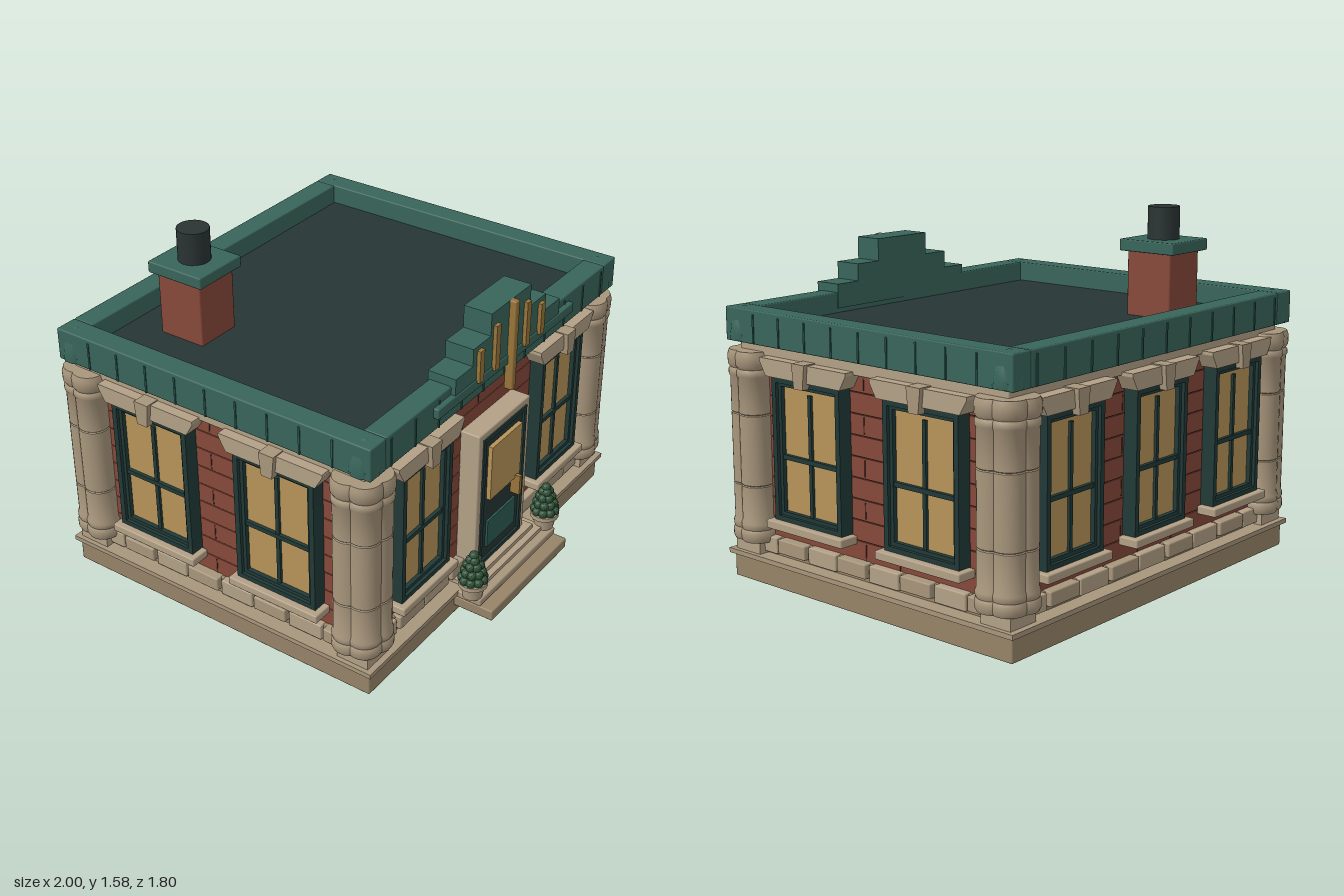
import * as THREE from 'three';
import { toCreasedNormals } from 'three/addons/utils/BufferGeometryUtils.js';
import { RoundedBoxGeometry } from 'three/addons/geometries/RoundedBoxGeometry.js';

const mat = (color, extra = {}) => new THREE.MeshStandardMaterial({ color, ...extra });
const M = {
  stone: mat(0xa8967c), pale: mat(0xb3a186), plinth: mat(0x978468), brick: mat(0x86493a), mortar: mat(0x4a2a24),
  green: mat(0x38655a), panel: mat(0x2b5a52), dark: mat(0x263634), trim: mat(0x213a37),
  glass: mat(0xb8945a), gold: mat(0x99743a), pot: mat(0x2a3333), leaf: mat(0x2f5238, { flatShading: true }),
};
const ZC = -0.08, HX = 0.89, HZ = 0.72; // house centre in z, half sizes of the walls

function add(parent, name, geometry, material, x = 0, y = 0, z = 0) {
  const m = new THREE.Mesh(geometry, material);
  m.name = name;
  m.position.set(x, y, z);
  parent.add(m);
  return m;
}
// box from its extents, edges softened when thick enough
function box(parent, name, material, x0, x1, y0, y1, z0, z1) {
  const w = x1 - x0, h = y1 - y0, d = z1 - z0;
  const g = Math.min(w, h, d) > 0.03 ? new RoundedBoxGeometry(w, h, d, 1, 0.006) : new THREE.BoxGeometry(w, h, d);
  return add(parent, name, g, material, (x0 + x1) / 2, (y0 + y1) / 2, (z0 + z1) / 2);
}
function lathe(parent, name, material, profile, x, y, z, sides = 24) {
  const g = new THREE.LatheGeometry(profile.map(p => new THREE.Vector2(p[0], p[1])), sides);
  return add(parent, name, toCreasedNormals(g, 0.7), material, x, y, z);
}
// flat outline pushed out along +z
function slab(parent, name, material, points, depth, z = 0) {
  const s = new THREE.Shape(points.map(p => new THREE.Vector2(p[0], p[1])));
  return add(parent, name, new THREE.ExtrudeGeometry(s, { depth, bevelEnabled: false }), material, 0, 0, z);
}
function ring(parent, name, material, w, y0, y1, t, z0, z1) {
  const s = new THREE.Shape([[-w, y0], [w, y0], [w, y1], [-w, y1]].map(p => new THREE.Vector2(...p)));
  s.holes.push(new THREE.Path([[-w + t, y0 + t], [-w + t, y1 - t], [w - t, y1 - t], [w - t, y0 + t]].map(p => new THREE.Vector2(...p))));
  return add(parent, name, new THREE.ExtrudeGeometry(s, { depth: z1 - z0, bevelEnabled: false }), material, 0, 0, z0);
}

// window on a wall face, w is half the frame width
function windowUnit(face, x, w) {
  const g = new THREE.Group();
  g.name = 'window';
  g.position.x = x;
  face.add(g);
  box(g, 'windowPane', M.glass, -w + 0.03, w - 0.03, 0.33, 0.9, 0, 0.03);
  ring(g, 'windowOuterFrame', M.trim, w, 0.305, 0.925, 0.024, 0, 0.065);
  ring(g, 'windowInnerFrame', M.trim, w - 0.02, 0.325, 0.905, 0.02, 0, 0.05);
  box(g, 'windowMullion', M.trim, -0.009, 0.009, 0.345, 0.865, 0.02, 0.042);
  box(g, 'windowTransom', M.trim, -w + 0.03, w - 0.03, 0.572, 0.592, 0.02, 0.046);
  box(g, 'windowSill', M.pale, -w - 0.027, w + 0.027, 0.27, 0.308, 0, 0.095);
  const t = w + 0.055, b = w + 0.02;
  slab(g, 'windowLintel', M.pale, [[-b, 0.925], [b, 0.925], [t, 0.985], [t, 1], [-t, 1], [-t, 0.985]], 0.08);
  slab(g, 'keystone', M.stone, [[-0.026, 0.9], [0.026, 0.9], [0.036, 0.99], [0.036, 1.005], [-0.036, 1.005], [-0.036, 0.99]], 0.1);
}

// one wall face: brick courses, joints and footing stones
function wallFace(house, name, half, x, z, turn, windows, w) {
  const f = new THREE.Group();
  f.name = name;
  f.position.set(x, 0, z);
  f.rotation.y = turn;
  house.add(f);
  const rows = 9, y0 = 0.2, h = 0.8 / rows;
  for (let r = 0; r < rows; r++) {
    const y = y0 + r * h;
    box(f, 'brickCourse', M.brick, -half, half, y, y + h - 0.004, -0.02, 0);
    for (let k = 0; k < 7; k++) {
      const jx = -half + 0.1 + ((k + (r % 2) * 0.5) / 7) * (half * 2 - 0.1);
      if ((k * 3 + r * 2) % 4 < 2) box(f, 'brickJoint', M.mortar, jx - 0.003, jx + 0.003, y + 0.008, y + h - 0.012, -0.01, 0.002);
    }
  }
  const n = Math.round(half / 0.095);
  box(f, 'footingBand', M.plinth, -half, half, 0.12, 0.205, -0.04, 0.015);
  for (let i = 0; i < n; i++) {
    const a = -half + (2 * half * i) / n, b = a + (2 * half) / n - 0.014;
    box(f, 'footingStone', i % 2 ? M.stone : M.pale, a, b, 0.135 + (i % 2) * 0.01, 0.208, -0.03, 0.035 + (i % 2) * 0.008);
  }
  for (const c of windows) windowUnit(f, c, w);
  return f;
}

// corner pier of three clustered drums
const drum = [[0, 0.18], [0.07, 0.18], [0.077, 0.195], [0.077, 0.225], [0.071, 0.235], [0.075, 0.245], [0.075, 0.262], [0.069, 0.275],
  [0.069, 0.426], [0.065, 0.43], [0.069, 0.434], [0.069, 0.736], [0.065, 0.74], [0.069, 0.744], [0.069, 0.895], [0.075, 0.905],
  [0.075, 0.925], [0.068, 0.935], [0.077, 0.95], [0.078, 0.99], [0.07, 1.012], [0, 1.012]];
function cornerPier(house, sx, sz) {
  const g = new THREE.Group();
  g.name = 'cornerPier';
  house.add(g);
  for (const [x, z] of [[0.85, 0.745], [0.92, 0.67], [0.908, 0.733]]) lathe(g, 'pierDrum', M.stone, drum, sx * x, 0, ZC + sz * z);
  add(g, 'pierFoot', new THREE.BoxGeometry(0.15, 0.07, 0.15), M.pale, sx * 0.88, 0.155, ZC + sz * 0.705);
  lathe(g, 'roofCornerKnob', M.green, [[0, 1.05], [0.066, 1.05], [0.068, 1.075], [0.06, 1.12], [0.046, 1.165], [0.025, 1.185], [0, 1.195]],
    sx * 0.908, 0, ZC + sz * 0.732, 10);
}

function plant(house, x) {
  const g = new THREE.Group();
  g.name = 'pottedShrub';
  g.position.set(x, 0.125, 0.79);
  house.add(g);
  lathe(g, 'planter', M.pale, [[0, 0], [0.042, 0], [0.052, 0.055], [0.064, 0.06], [0.064, 0.08], [0.05, 0.08], [0.045, 0.07], [0, 0.07]], 0, 0, 0, 16);
  add(g, 'shrubCore', new THREE.ConeGeometry(0.055, 0.15, 10), M.leaf, 0, 0.145, 0);
  [[9, 0.046, 0.095], [8, 0.037, 0.13], [6, 0.026, 0.163], [4, 0.014, 0.19], [1, 0, 0.21]].forEach(([n, r, y], row) => {
    for (let i = 0; i < n; i++) {
      const a = ((i + row * 0.5) / n) * Math.PI * 2;
      add(g, 'shrubLeaf', new THREE.IcosahedronGeometry(0.022, 1), M.leaf, r * Math.cos(a), y, r * Math.sin(a));
    }
  });
}

function entrance(f) {
  box(f, 'doorSurround', M.pale, -0.205, -0.17, 0.165, 0.85, 0, 0.095);
  box(f, 'doorSurround', M.pale, 0.17, 0.205, 0.165, 0.85, 0, 0.095);
  box(f, 'doorSurround', M.pale, -0.205, 0.205, 0.815, 0.85, 0, 0.095);
  ring(f, 'doorFrame', M.trim, 0.173, 0.165, 0.818, 0.02, 0, 0.1);
  box(f, 'door', M.dark, -0.16, 0.16, 0.17, 0.805, 0, 0.09);
  box(f, 'doorPane', M.glass, -0.122, 0.122, 0.495, 0.76, 0.08, 0.11);
  box(f, 'doorPanel', M.panel, -0.115, 0.115, 0.24, 0.375, 0.08, 0.1);
  box(f, 'doorHandle', M.gold, 0.082, 0.1, 0.415, 0.51, 0.09, 0.135);
  box(f, 'lowerStep', M.plinth, -0.32, 0.32, 0.042, 0.092, 0.06, 0.26);
  box(f, 'middleStep', M.stone, -0.32, 0.32, 0.092, 0.126, 0.04, 0.2);
  box(f, 'upperStep', M.pale, -0.28, 0.28, 0.126, 0.145, 0, 0.16);
  box(f, 'threshold', M.pale, -0.235, 0.235, 0.145, 0.166, 0, 0.13);
}

function roof(house) {
  const g = new THREE.Group();
  g.name = 'roof';
  house.add(g);
  const X = 0.96, Z = 0.795, T = 0.105;
  box(g, 'roofDeck', M.dark, -0.9, 0.9, 1.04, 1.1, ZC - 0.73, ZC + 0.73);
  for (const s of [-1, 1]) {
    const p = [[s * (X - T), s * X], [ZC + s * (Z - T), ZC + s * Z]].map(q => q.sort((a, b) => a - b));
    box(g, 'sideParapet', M.green, ...p[0], 1.045, 1.19, ZC - Z, ZC + Z);
    box(g, 'endParapet', M.green, -X + T, X - T, 1.045, 1.19, ...p[1]);
    // standing seams
    for (let i = -5; i <= 5; i++) {
      add(g, 'parapetSeam', new THREE.BoxGeometry(0.008, 0.125, 0.008), M.panel, i * 0.165, 1.11, ZC + s * Z);
      if (Math.abs(i) < 5) add(g, 'parapetSeam', new THREE.BoxGeometry(0.008, 0.125, 0.008), M.panel, s * X, 1.11, ZC + i * 0.155);
    }
  }
  // stepped crest over the entrance
  const half = [[0.155, 1.405], [0.155, 1.305], [0.285, 1.305], [0.285, 1.228], [0.41, 1.228], [0.41, 1.12]];
  slab(g, 'steppedCrest', M.green, [...half.map(p => [-p[0], p[1]]).reverse(), ...half], 0.13, 0.605);
  box(g, 'crestBase', M.green, -0.535, 0.535, 1.108, 1.155, 0.68, 0.74);
  for (const [x, y0, y1] of [[0, 0.99, 1.405], [0.12, 1.14, 1.345], [0.24, 1.14, 1.285]])
    for (const s of x ? [-1, 1] : [1]) box(g, 'crestRib', M.gold, s * x - 0.016, s * x + 0.016, y0, y1, 0.725, x ? 0.752 : 0.765);
  // chimney
  box(g, 'chimneyStack', M.brick, -0.61, -0.395, 1.08, 1.385, -0.61, -0.385);
  box(g, 'chimneyCap', M.green, -0.635, -0.37, 1.383, 1.435, -0.64, -0.357);
  add(g, 'chimneyPot', new THREE.CylinderGeometry(0.07, 0.07, 0.145, 24), M.pot, -0.502, 1.505, -0.498);
}

export function createModel() {
  const house = new THREE.Group();
  house.name = 'house';
  box(house, 'plinth', M.plinth, -0.957, 0.957, 0, 0.108, ZC - 0.79, ZC + 0.79);
  box(house, 'plinthLedge', M.stone, -0.975, 0.975, 0.105, 0.126, ZC - 0.807, ZC + 0.807);
  box(house, 'wallCore', M.mortar, -HX + 0.005, HX - 0.005, 0.12, 1.04, ZC - HZ + 0.005, ZC + HZ - 0.005);
  box(house, 'stoneFrieze', M.pale, -0.925, 0.925, 0.985, 1.048, ZC - 0.745, ZC + 0.745);

  const front = wallFace(house, 'frontWall', HX, 0, ZC + HZ, 0, [-0.54, 0.54], 0.178);
  entrance(front);
  wallFace(house, 'backWall', HX, 0, ZC - HZ, Math.PI, [-0.57, 0, 0.57], 0.178);
  for (const s of [-1, 1]) {
    wallFace(house, s > 0 ? 'leftWall' : 'rightWall', HZ, s * HX, ZC, (s * Math.PI) / 2, [-0.322, 0.322], 0.2);
    for (const t of [-1, 1]) cornerPier(house, s, t);
    plant(house, s * 0.305);
  }
  roof(house);
  return house;
}
